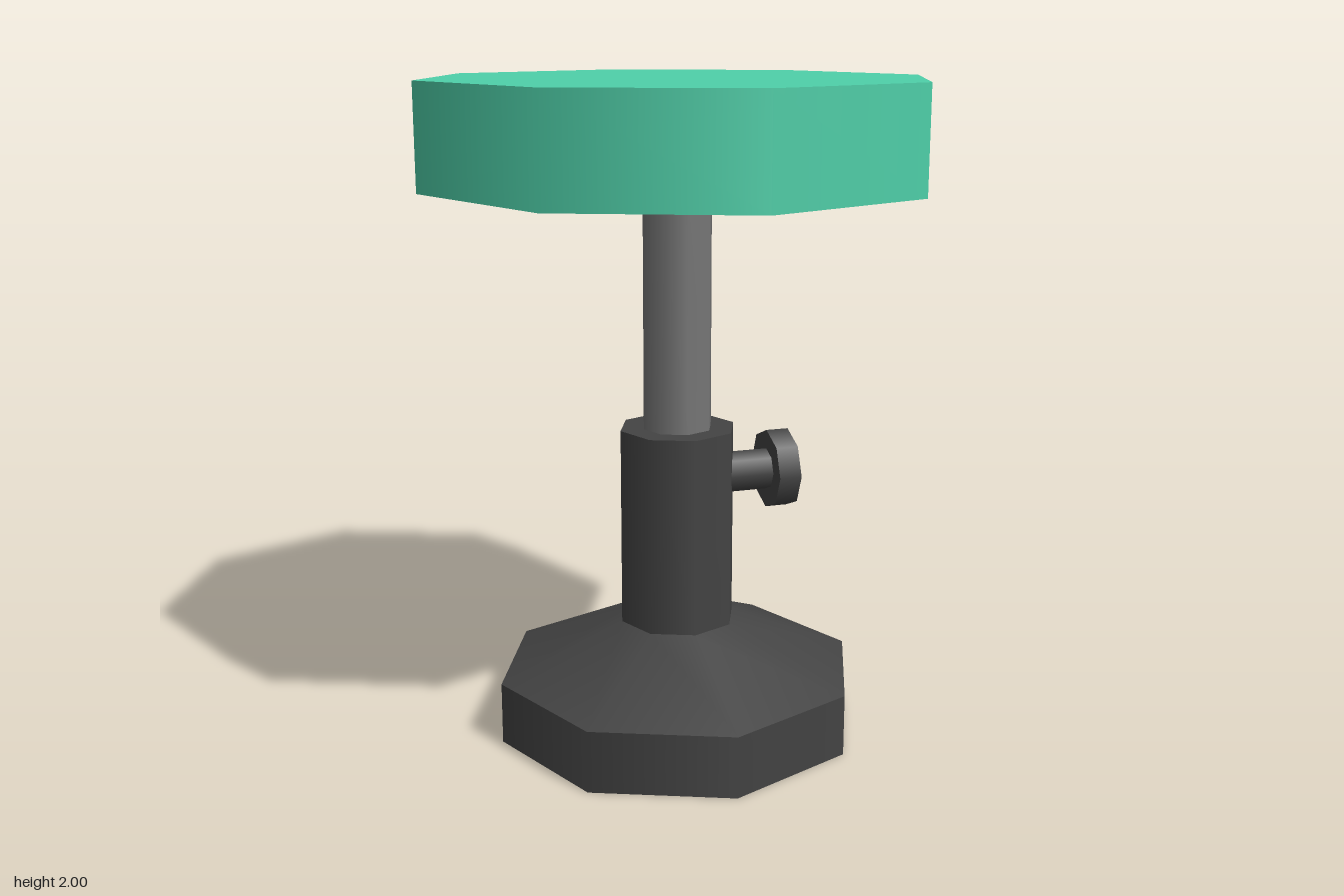
import * as THREE from 'three';
import { mergeGeometries } from 'three/addons/utils/BufferGeometryUtils.js';

const SIDES = 8;

// Eight-sided turned solid: smooth around the axis, sharp at each profile point.
// The profile runs from the bottom up as [radius, y].
function turned(profile) {
  const bands = [];
  for (let i = 0; i < profile.length - 1; i++) {
    const pair = [profile[i], profile[i + 1]].map(([r, y]) => new THREE.Vector2(r, y));
    bands.push(new THREE.LatheGeometry(pair, SIDES));
  }
  return mergeGeometries(bands);
}

function part(name, profile, material) {
  const mesh = new THREE.Mesh(turned(profile), material);
  mesh.name = name;
  return mesh;
}

export function createModel() {
  const model = new THREE.Group();
  model.name = 'stool';
  const cushion = new THREE.MeshStandardMaterial({ color: 0x4fd1aa });
  const steel = new THREE.MeshStandardMaterial({ color: 0x777777 });
  const dark = new THREE.MeshStandardMaterial({ color: 0x444444 });

  // Weighted foot sloping up into the collar
  model.add(part('base', [[0, 0], [0.565, 0], [0.565, 0.19], [0.18, 0.35], [0.18, 0.96], [0, 0.96]], dark));

  // Telescoping post
  model.add(part('post', [[0.107, 0.96], [0.107, 1.64]], steel));

  // Seat with a shallow tapered underside
  model.add(part('seat', [[0, 1.635], [0.107, 1.635], [0.765, 1.69], [0.765, 2], [0, 2]], cushion));

  // Height clamp knob pointing along +x
  const knob = new THREE.Group();
  knob.name = 'clampKnob';
  knob.add(part('knobShaft', [[0.065, 0.14], [0.065, 0.29]], dark));
  knob.add(part('knobHead', [[0, 0.29], [0.124, 0.29], [0.124, 0.36], [0, 0.36]], dark));
  knob.rotation.z = -Math.PI / 2;
  knob.position.y = 0.802;
  model.add(knob);

  return model;
}
